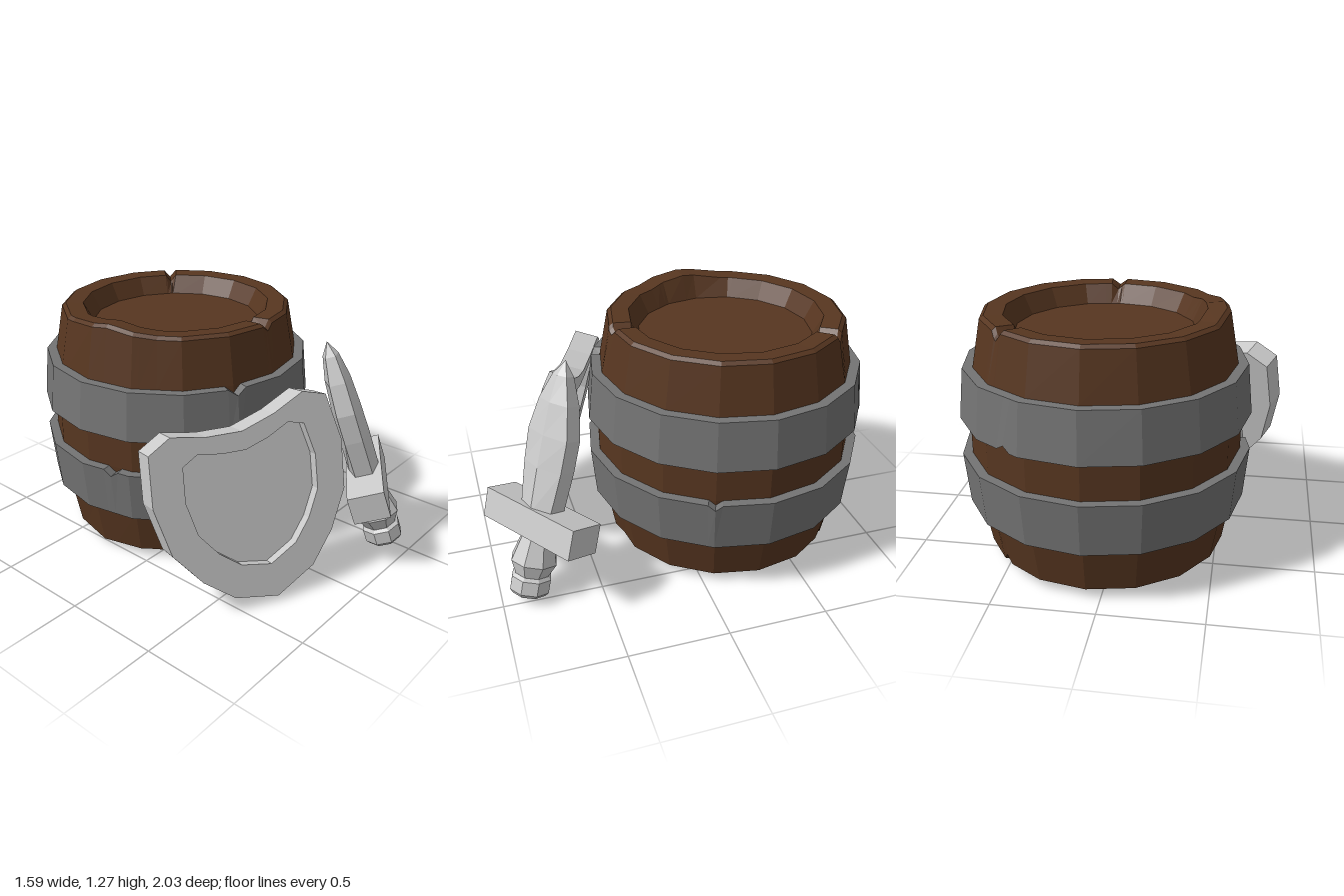
import * as THREE from 'three';

const TAU = Math.PI * 2;
const wood = new THREE.MeshStandardMaterial({ color: 0x573620 });
wood.name = 'brown wood';
const iron = new THREE.MeshStandardMaterial({ color: 0x747474 });
iron.name = 'dark iron';
const steel = new THREE.MeshStandardMaterial({ color: 0xcacaca });
steel.name = 'light steel';

// Faceted skin over rows of [x, y, z] points; each row is a closed loop
function skin(rows, closed = false) {
  const pos = [];
  const last = closed ? rows.length : rows.length - 1;
  for (let i = 0; i < last; i++) {
    const a = rows[i], b = rows[(i + 1) % rows.length];
    for (let j = 0; j < a.length; j++) {
      const k = (j + 1) % a.length;
      pos.push(...a[j], ...a[k], ...b[k], ...a[j], ...b[k], ...b[j]);
    }
  }
  const g = new THREE.BufferGeometry();
  g.setAttribute('position', new THREE.Float32BufferAttribute(pos, 3));
  g.computeVertexNormals();
  return g;
}

// 16-sided turned form. Profile points are [radius, y, edge]; edge 1 (top) or -1 (bottom)
// is dented by the chips {deg, edge, depth, width}
function turned(profile, chips, closed) {
  const angles = [];
  for (let i = 0; i < 16; i++) angles.push(i * TAU / 16);
  for (const c of chips) {
    c.a = c.deg * TAU / 360;
    for (const s of [-1, 0, 1]) {
      const a = (c.a + s * c.width + TAU) % TAU;
      if (!angles.some(b => Math.abs(a - b) < 0.005)) angles.push(a);
    }
  }
  angles.sort((p, q) => p - q);
  const rows = profile.map(([r, y, edge = 0]) => angles.map(a => {
    const rr = r * Math.cos(Math.PI / 16) / Math.cos((a % (TAU / 16)) - Math.PI / 16);
    let yy = y;
    for (const c of chips) {
      if (c.edge !== edge) continue;
      const gap = Math.abs(((a - c.a + TAU * 1.5) % TAU) - Math.PI);
      yy -= edge * c.depth * Math.max(0, 1 - gap / c.width);
    }
    return [rr * Math.sin(a), yy, rr * Math.cos(a)];
  }));
  return skin(rows, closed);
}

function add(parent, name, geometry, material) {
  const m = new THREE.Mesh(geometry, material);
  m.name = name;
  parent.add(m);
  return m;
}

// Group with its own axes and origin
function frame(name, x, y, origin) {
  const g = new THREE.Group();
  g.name = name;
  const ax = new THREE.Vector3(...x).normalize();
  const az = ax.clone().cross(new THREE.Vector3(...y)).normalize();
  const ay = az.clone().cross(ax);
  g.quaternion.setFromRotationMatrix(new THREE.Matrix4().makeBasis(ax, ay, az));
  g.position.set(...origin);
  return g;
}

function makeBarrel() {
  const barrel = new THREE.Group();
  barrel.name = 'barrel';
  barrel.position.set(0.07, 0, -0.283);
  // Staves with recessed ends and chipped rims
  add(barrel, 'barrelBody', turned([
    [0, 0.13], [0.44, 0.13], [0.49, 0.045, -1], [0.58, 0.04, -1], [0.6, 0.05, -1],
    [0.645, 0.29], [0.672, 0.55], [0.672, 0.74], [0.645, 0.99],
    [0.6, 1.225, 1], [0.58, 1.24, 1], [0.49, 1.235, 1], [0.44, 1.14], [0, 1.14],
  ], [
    { deg: 2, edge: 1, depth: 0.03, width: 0.07 },
    { deg: 136, edge: 1, depth: 0.04, width: 0.06 },
    { deg: 278, edge: 1, depth: -0.03, width: 0.45 },
    { deg: 135, edge: -1, depth: 0.04, width: 0.06 },
    { deg: 270, edge: -1, depth: -0.015, width: 0.45 },
    { deg: 10, edge: -1, depth: 0.015, width: 0.2 },
  ]), wood);
  // Iron hoops
  add(barrel, 'upperHoop', turned(
    [[0.72, 0.74, -1], [0.695, 0.99, 1], [0.635, 0.99, 1], [0.655, 0.74, -1]],
    [{ deg: 337.5, edge: 1, depth: 0.035, width: 0.07 },
      { deg: 150, edge: -1, depth: 0.025, width: 0.06 }], true), iron);
  add(barrel, 'lowerHoop', turned(
    [[0.695, 0.29, -1], [0.72, 0.55, 1], [0.655, 0.55, 1], [0.635, 0.29, -1]],
    [{ deg: 67.5, edge: 1, depth: 0.025, width: 0.05 },
      { deg: 284, edge: 1, depth: 0.03, width: 0.06 }], true), iron);
  return barrel;
}

function makeShield() {
  const shield = frame('shield', [0.917, 0.126, 0.379], [-0.021, 0.963, -0.268], [-0.33, 0.5, 0.6]);
  // Right half of the outline, from the point at the bottom to the dip at the top
  const half = [[0, -0.485], [0.22, -0.405], [0.36, -0.265], [0.475, -0.08], [0.51, 0.17],
    [0.47, 0.415], [0.35, 0.465], [0.18, 0.41], [0, 0.38]];
  const outline = [...half, ...half.slice(1, -1).reverse().map(([x, y]) => [-x, y])]
    .map(([x, y]) => new THREE.Vector2(x, y));
  const inner = outline.map(p => new THREE.Vector2(p.x * 0.69, p.y * 0.69 + 0.025));
  const rimShape = new THREE.Shape(outline);
  rimShape.holes.push(new THREE.Path(inner));
  const solid = (shape, depth, z) =>
    new THREE.ExtrudeGeometry(shape, { depth, bevelEnabled: false }).translate(0, 0, z);
  add(shield, 'shieldRim', solid(rimShape, 0.13, -0.13), steel);
  add(shield, 'shieldPanel', solid(new THREE.Shape(inner), 0.035, -0.085), steel);
  return shield;
}

function makeSword() {
  const sword = frame('sword', [0.83, 0.03, -0.54], [-0.195, 0.948, -0.254], [0.39, 0.405, 0.768]);
  // Leaf blade: [height, half width, edge half thickness, ridge half thickness]
  const blade = [[0.05, 0.1, 0.045, 0.08], [0.28, 0.125, 0.045, 0.08], [0.44, 0.13, 0.045, 0.075],
    [0.6, 0.095, 0.04, 0.065], [0.73, 0.045, 0.025, 0.04], [0.8, 0, 0, 0]];
  add(sword, 'blade', skin(blade.map(([h, w, e, r]) =>
    [[0, h, r], [w, h, e], [w, h, -e], [0, h, -r], [-w, h, -e], [-w, h, e]])), steel);
  add(sword, 'crossGuard', new THREE.BoxGeometry(0.6, 0.15, 0.185), steel);
  // Eight-sided grip and pommel: [height, half width]
  const octagon = ([h, w]) => Array.from({ length: 8 }, (_, i) => {
    const a = (i + 0.5) * TAU / 8, r = w / Math.cos(TAU / 16);
    return [r * Math.sin(a), h, r * Math.cos(a)];
  });
  add(sword, 'grip', skin([[-0.29, 0.075], [-0.21, 0.11], [-0.07, 0.073]].map(octagon)), steel);
  add(sword, 'pommel', skin([[-0.385, 0], [-0.385, 0.08], [-0.365, 0.095], [-0.295, 0.095],
    [-0.28, 0.08], [-0.28, 0]].map(octagon)), steel);
  return sword;
}

export function createModel() {
  const model = new THREE.Group();
  model.name = 'barrelWithSwordAndShield';
  model.add(makeBarrel(), makeShield(), makeSword());
  return model;
}
